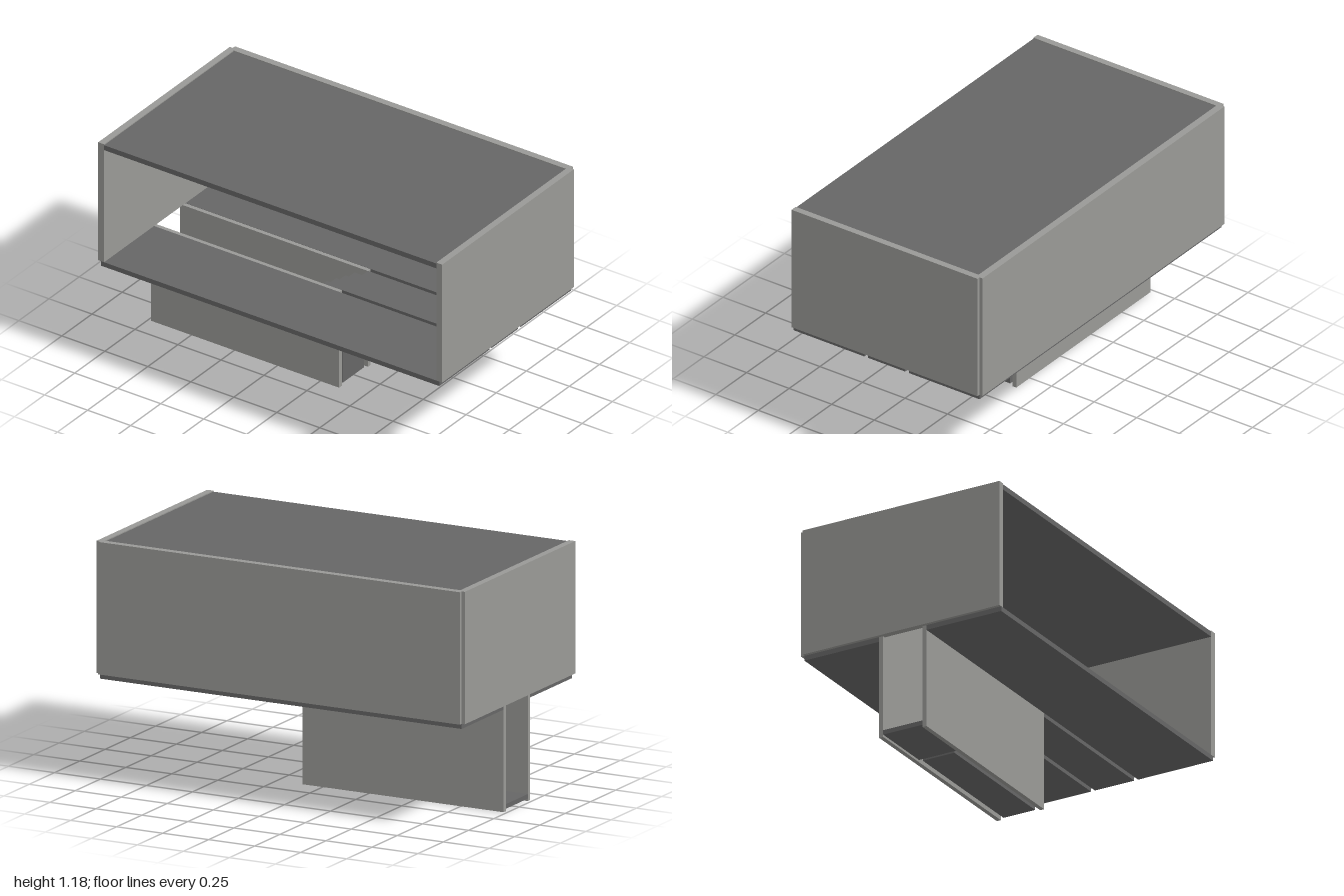
import * as THREE from 'three';

const wallMat = new THREE.MeshStandardMaterial({ color: 0x999996 });
wallMat.name = 'light grey wall';
const slabMat = new THREE.MeshStandardMaterial({ color: 0x666666 });
slabMat.name = 'dark grey slab';

export function createModel() {
  const model = new THREE.Group();
  model.name = 'roomWithStairwell';

  // Box given by its minimum and maximum on each axis
  const box = (name, mat, [x0, x1], [y0, y1], [z0, z1], parent = model) => {
    const mesh = new THREE.Mesh(new THREE.BoxGeometry(x1 - x0, y1 - y0, z1 - z0), mat);
    mesh.position.set((x0 + x1) / 2, (y0 + y1) / 2, (z0 + z1) / 2);
    mesh.name = name;
    parent.add(mesh);
  };

  const floorY = [0.505, 0.53];
  const wallY = [0.53, 1.182];
  const fullZ = [-0.983, 0.983];

  // Floor: two long strips, and a middle strip that stops at the stairwell
  box('floorRight', slabMat, [-0.555, -0.14], floorY, fullZ);
  box('floorLeft', slabMat, [0.122, 0.537], floorY, fullZ);
  box('floorMiddle', slabMat, [-0.118, 0.1], floorY, [0.11, 0.983]);

  // Room walls on three sides; the -x side stays open
  box('frontWall', wallMat, [-0.555, 0.537], wallY, [0.966, 1]);
  box('backWall', wallMat, [-0.555, 0.537], wallY, [-1, -0.966]);
  box('leftWall', wallMat, [0.519, 0.555], wallY, fullZ);

  // Roof sits just below the wall tops
  box('roof', slabMat, [-0.555, 0.519], [1.15, 1.177], [-0.966, 0.966]);

  // Stairwell walls and landing, open at the back
  const wellZ = [-0.983, 0.11];
  box('stairwellWallRight', wallMat, [-0.14, -0.118], [0, 0.529], wellZ);
  box('stairwellWallLeft', wallMat, [0.1, 0.122], [0, 0.529], wellZ);
  box('landing', slabMat, [-0.118, 0.1], [0.012, 0.035], [-0.983, -0.65]);

  // Solid stairs going down towards the back
  const stairs = new THREE.Group();
  stairs.name = 'stairs';
  model.add(stairs);
  const steps = 14, top = 0.51, front = 0.1, run = 0.75 / steps;
  for (let i = 0; i < steps; i++) {
    const z = front - i * run;
    box('step', slabMat, [-0.096, 0.079], [0.003, top - (i * (top - 0.035)) / steps], [z - run, z], stairs);
  }

  return model;
}
